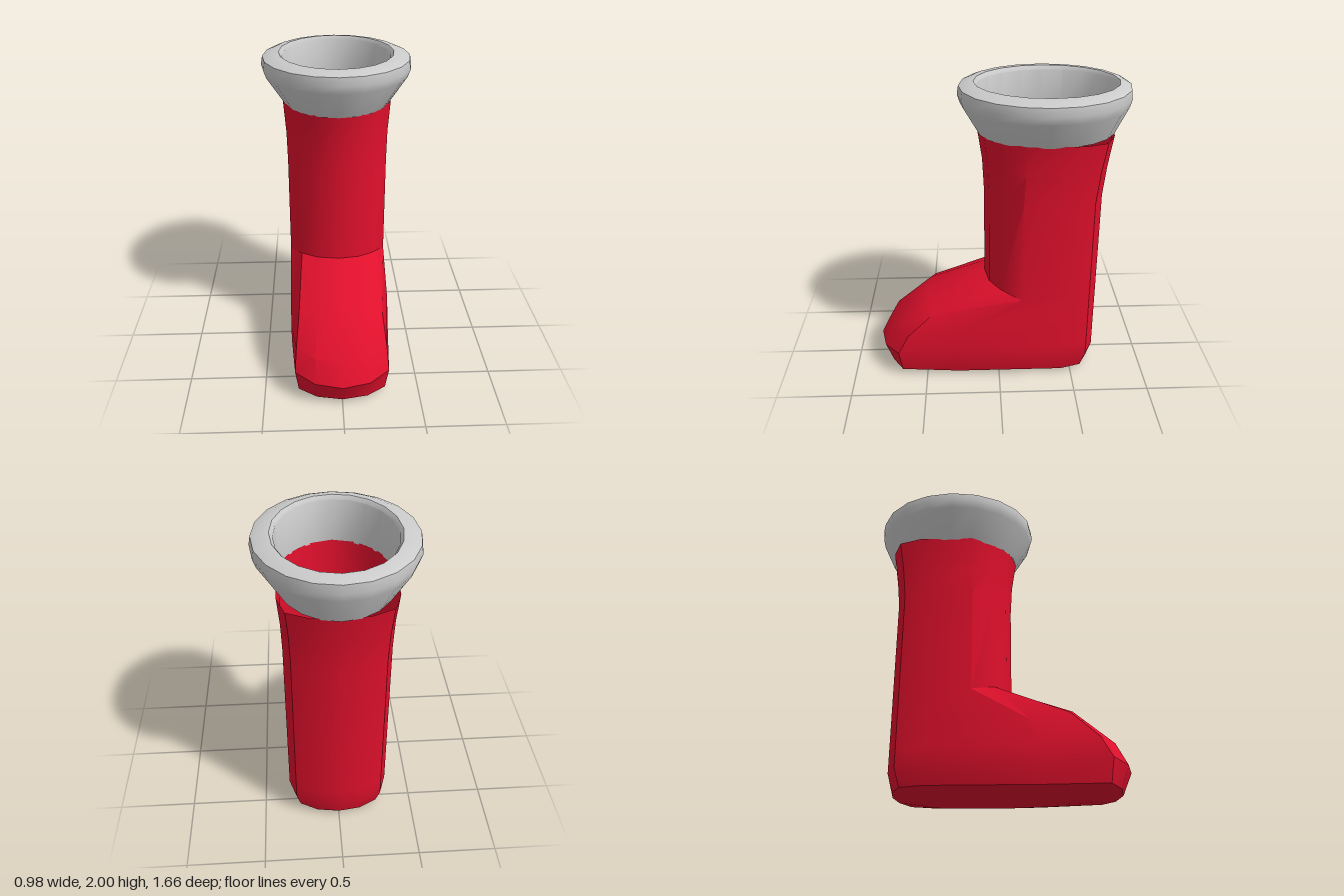
import * as THREE from 'three';
import { toCreasedNormals } from 'three/addons/utils/BufferGeometryUtils.js';

// Skin a stack of closed rings (front point first, running towards +x, stacked upwards).
function loft(rings, cap, crease) {
  const n = rings[0].length;
  const positions = rings.flat(2);
  const index = [];
  for (let i = 0; i < rings.length - 1; i++) {
    for (let j = 0; j < n; j++) {
      const k = (j + 1) % n;
      const a = i * n + j, b = i * n + k, c = b + n, d = a + n;
      index.push(a, b, c, a, c, d);
    }
  }
  if (cap) {
    const centre = positions.length / 3;
    positions.push(...cap);
    for (let j = 0; j < n; j++) index.push(centre, (j + 1) % n, j);
  }
  const geometry = new THREE.BufferGeometry();
  geometry.setAttribute('position', new THREE.Float32BufferAttribute(positions, 3));
  geometry.setIndex(index);
  return toCreasedNormals(geometry, crease);
}

// Complete a ring from its +x half.
function mirrorRing(half) {
  const other = half.slice(1, -1).reverse().map(([x, y, z]) => [-x, y, z]);
  return [...half, ...other];
}

// One level of the boot: front centre, front panel edge, side, then a rounded heel.
function bootRing([yf, zf, ye, ze, xe, ys, zs, w, yb, zb]) {
  return mirrorRing([
    [0, yf, zf],
    [xe * 0.58, yf + (ye - yf) * 0.25, zf + (ze - zf) * 0.28],
    [xe, ye, ze],
    [w, ys, zs],
    [w, yb, zb + 0.22],
    [w * 0.86, yb, zb + 0.08],
    [w * 0.48, yb, zb + 0.02],
    [0, yb, zb],
  ]);
}

function makeBoot() {
  const levels = [
    // front y,z | panel edge y,z,x | side y,z | half width | heel y,z
    [0.00, 0.30, 0.00, 0.25, 0.16, 0.00, 0.12, 0.18, 0.00, -0.50],
    [0.03, 0.77, 0.04, 0.67, 0.28, 0.03, 0.28, 0.30, 0.03, -0.65],
    [0.17, 0.83, 0.19, 0.69, 0.30, 0.14, 0.28, 0.33, 0.14, -0.68],
    [0.31, 0.76, 0.32, 0.62, 0.29, 0.26, 0.28, 0.33, 0.25, -0.68],
    [0.54, 0.48, 0.48, 0.45, 0.27, 0.42, 0.20, 0.33, 0.42, -0.68],
    [0.67, 0.09, 0.66, -0.01, 0.25, 0.62, -0.15, 0.33, 0.62, -0.68],
    [1.30, 0.09, 1.30, -0.02, 0.25, 1.30, -0.15, 0.33, 1.30, -0.68],
    [1.50, 0.10, 1.50, -0.02, 0.25, 1.50, -0.16, 0.335, 1.50, -0.70],
    [1.70, 0.13, 1.70, -0.01, 0.26, 1.70, -0.16, 0.35, 1.70, -0.73],
  ];
  return loft(levels.map(bootRing), [0, 0, -0.1], 0.55);
}

// Flared cuff: blends from the leg opening (t = 0) to the widest outline (t = 1).
function makeCuff() {
  const profile = [
    [0.00, 1.69], [0.87, 1.87], [1.00, 1.92], [0.93, 1.975],
    [0.55, 1.995], [0.15, 2.00], [0.00, 1.975], [0.00, 1.69],
  ];
  const sides = 20;
  const mix = THREE.MathUtils.lerp;
  const rings = profile.map(([t, y]) => Array.from({ length: sides }, (_, j) => {
    const a = (j / sides) * Math.PI * 2;
    return [
      Math.sin(a) * mix(0.355, 0.49, t),
      y,
      mix(-0.303, -0.29, t) + Math.cos(a) * mix(0.435, 0.54, t),
    ];
  }));
  return loft(rings, null, 0.7);
}

export function createModel() {
  const group = new THREE.Group();
  group.name = 'boot';
  const add = (name, geometry, color) => {
    const material = new THREE.MeshStandardMaterial({ color, side: THREE.DoubleSide });
    const mesh = new THREE.Mesh(geometry, material);
    mesh.name = name;
    group.add(mesh);
  };
  add('bootBody', makeBoot(), 0xe0102c);
  add('cuff', makeCuff(), 0xcccccc);
  return group;
}
